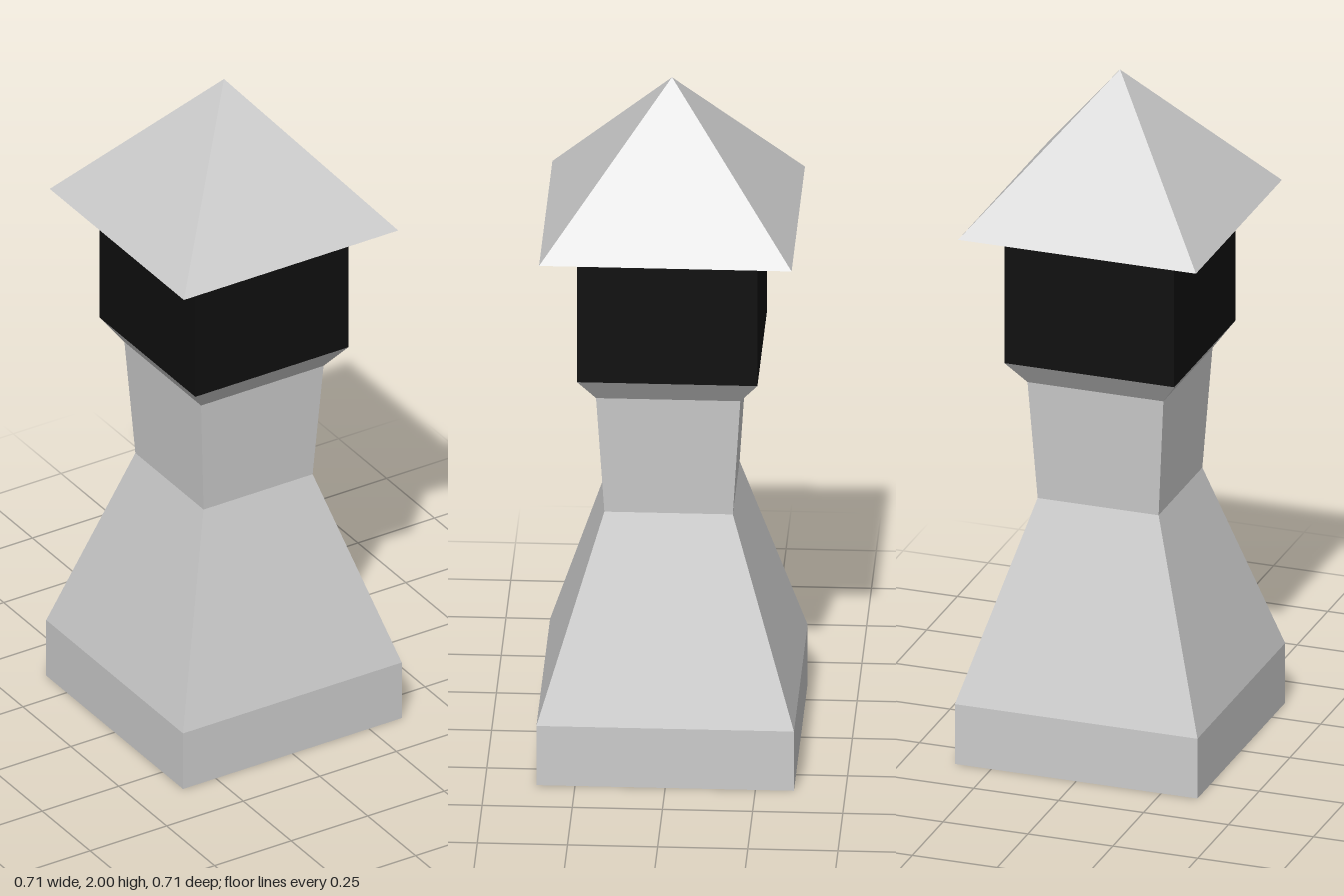
import * as THREE from 'three';

// Square-section solid from [half width, height] pairs, listed bottom to top
function squareTower(name, profile, color) {
  const points = profile.map(([half, y]) => new THREE.Vector2(half * Math.SQRT2, y));
  const geometry = new THREE.LatheGeometry(points, 4, Math.PI / 4).toNonIndexed();
  geometry.computeVertexNormals();
  const material = new THREE.MeshStandardMaterial({ color, flatShading: true });
  const mesh = new THREE.Mesh(geometry, material);
  mesh.name = name;
  return mesh;
}

export function createModel() {
  const grey = 0xcccccc;
  const group = new THREE.Group();
  group.name = 'tower';
  group.add(
    // Plinth with a sloped skirt up to the waist
    squareTower('base', [[0, 0], [0.357, 0], [0.357, 0.18], [0.178, 0.755]], grey),
    // Flaring neck and the collar under the lantern
    squareTower('neck', [[0.178, 0.755], [0.2, 1.11], [0.25, 1.18], [0, 1.18]], grey),
    // Dark lantern room
    squareTower('lantern', [[0.25, 1.18], [0.25, 1.577]], 0x0f0f0f),
    // Pyramid roof with closed eaves
    squareTower('roof', [[0, 1.577], [0.35, 1.577], [0, 2]], grey),
  );
  return group;
}
